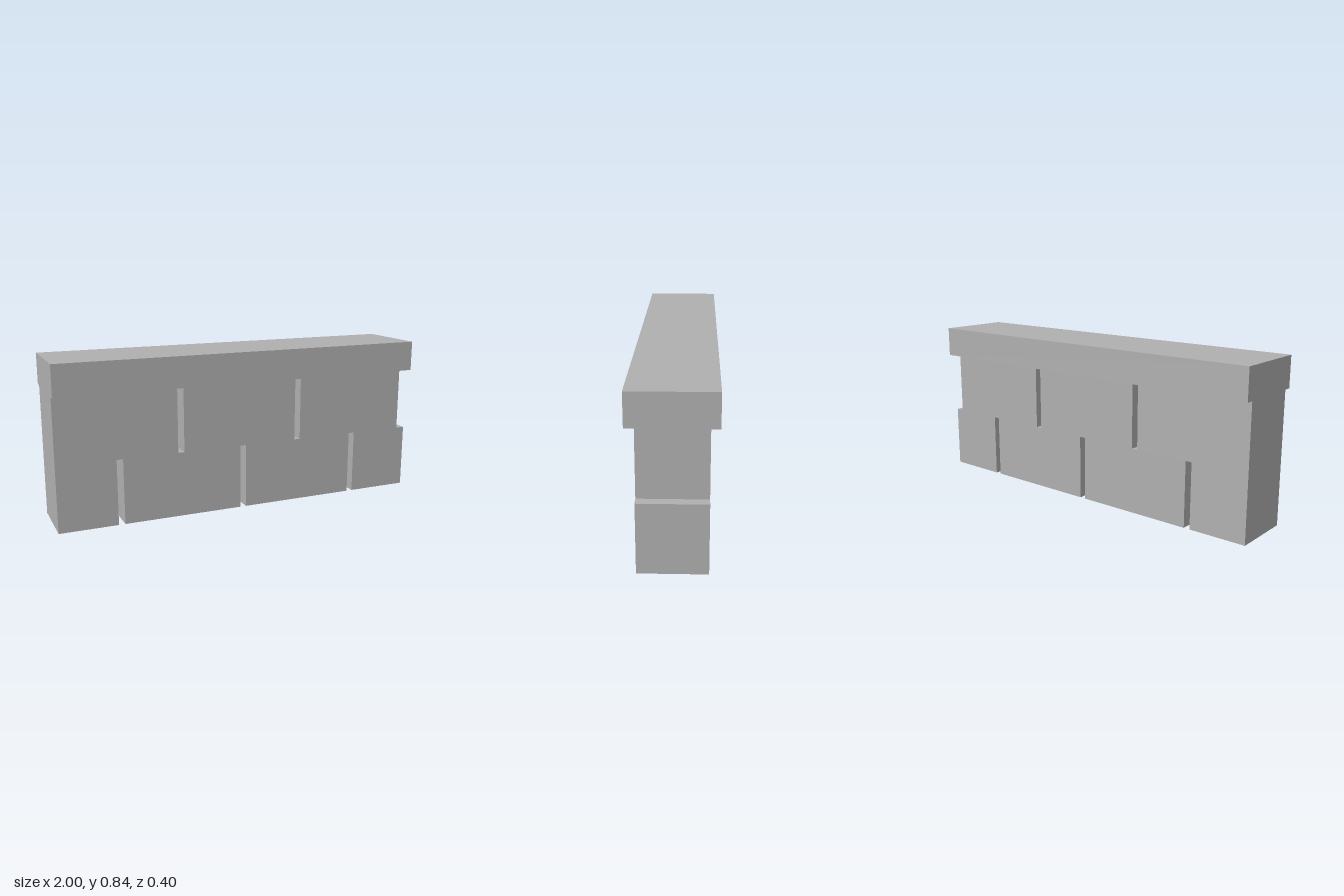
import * as THREE from 'three';

export function createModel() {
  const group = new THREE.Group();
  const stone = new THREE.MeshStandardMaterial({ color: 0xb0b0b0 });
  stone.name = 'grey stone';

  const courseY = 0.34, wallTop = 0.68, top = 0.84;
  const wallDepth = 0.32, capDepth = 0.4, gap = 0.033;
  const lowerSlots = [-0.699, -0.033, 0.632]; // left edges of the open joints
  const upperSlots = [-0.378, 0.287];

  // Wall outline: joints cut up from the base and down from the top
  const outline = [[-1, 0]];
  for (const x of lowerSlots) {
    outline.push([x, 0], [x, courseY], [x + gap, courseY], [x + gap, 0]);
  }
  // Right end is toothed: the upper course stops short
  outline.push([1, 0], [1, courseY], [0.953, courseY], [0.953, wallTop]);
  for (const x of [...upperSlots].reverse()) {
    outline.push([x + gap, wallTop], [x + gap, courseY], [x, courseY], [x, wallTop]);
  }
  outline.push([-1, wallTop]);

  const shape = new THREE.Shape(outline.map(([x, y]) => new THREE.Vector2(x, y)));
  const wallGeometry = new THREE.ExtrudeGeometry(shape, { depth: wallDepth, bevelEnabled: false });
  wallGeometry.translate(0, 0, -wallDepth / 2);
  const wall = new THREE.Mesh(wallGeometry, stone);
  wall.name = 'slottedWall';
  group.add(wall);

  // Overhanging coping
  const coping = new THREE.Mesh(new THREE.BoxGeometry(2, top - wallTop, capDepth), stone);
  coping.name = 'coping';
  coping.position.y = (top + wallTop) / 2;
  group.add(coping);

  return group;
}
